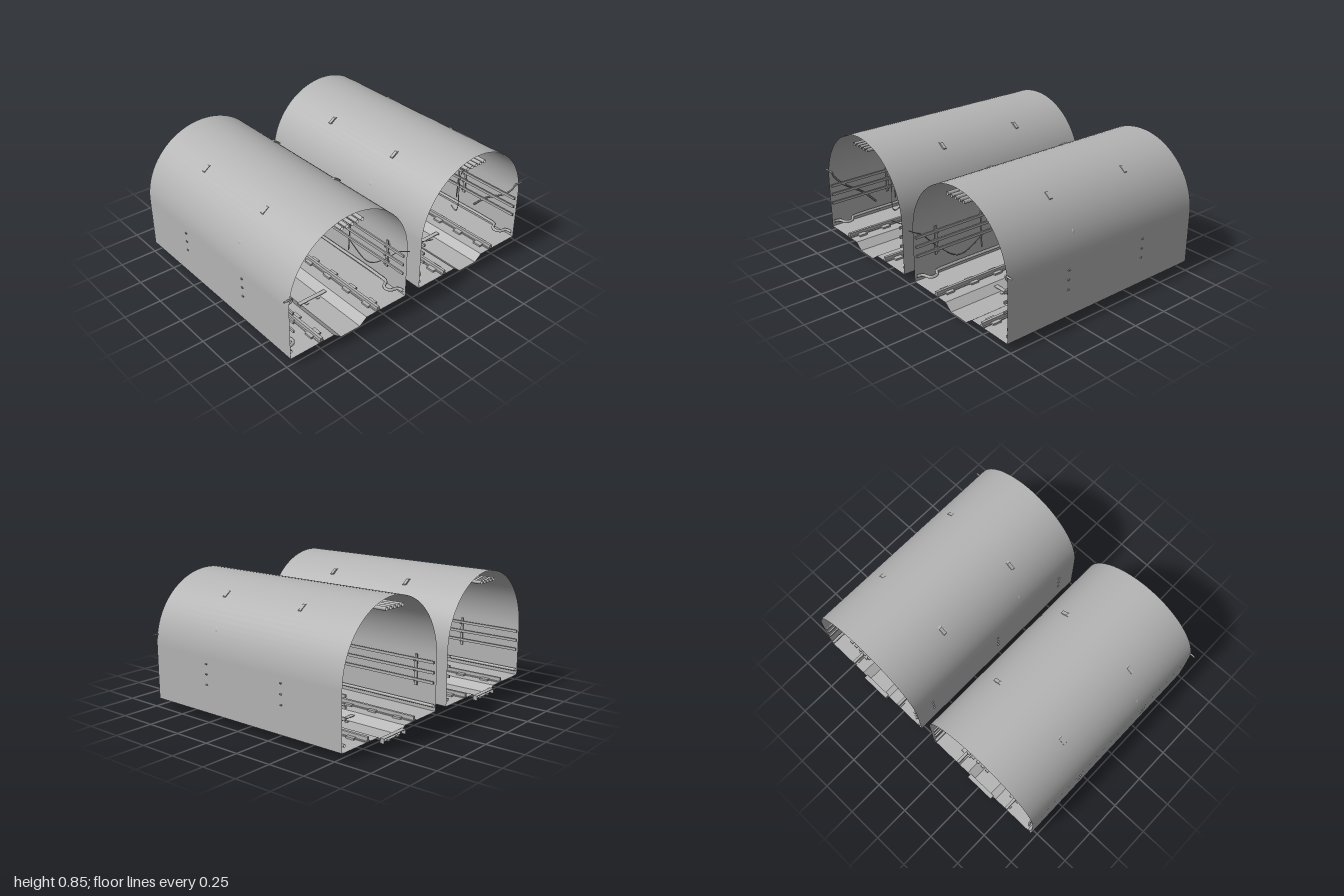
import * as THREE from 'three';

const ZB = -0.78, ZF = 0.75, LEN = ZF - ZB, ZM = (ZF + ZB) / 2;
const WALL_IN = 0.06, WALL_OUT = 0.97, CX = 0.515, R = 0.455, SPRING = 0.395, FLOOR = 0.045;

export function createModel() {
  const root = new THREE.Group();
  root.name = 'twinTunnel';
  const concrete = new THREE.MeshStandardMaterial({ color: 0xb4b4b4, side: THREE.DoubleSide });
  concrete.name = 'concrete grey';

  // s = 1 builds the left tunnel, s = -1 its mirror image
  function tunnel(s) {
    const group = new THREE.Group();
    group.name = s > 0 ? 'leftTunnel' : 'rightTunnel';
    root.add(group);

    const add = (name, geo, x = 0, y = 0, z = 0) => {
      const mesh = new THREE.Mesh(geo, concrete);
      mesh.name = name;
      mesh.position.set(s * x, y, z);
      group.add(mesh);
      return mesh;
    };
    const box = (name, w, h, d, x, y, z) => add(name, new THREE.BoxGeometry(w, h, d), x, y, z);
    const tube = (name, pts, r, seg = 40) => {
      const curve = new THREE.CatmullRomCurve3(pts.map(([x, y, z]) => new THREE.Vector3(s * x, y, z)));
      return add(name, new THREE.TubeGeometry(curve, seg, r, 6));
    };
    // Open sheet: a cross-section swept along the tunnel
    const sheet = (name, pts, smooth) => {
      const list = s > 0 ? pts : pts.map(([x, y]) => [-x, y]).reverse();
      let geo = new THREE.PlaneGeometry(1, 1, list.length - 1, 1);
      const p = geo.attributes.position;
      for (let i = 0; i < p.count; i++) {
        const [x, y] = list[i % list.length];
        p.setXYZ(i, x, y, i < list.length ? ZB : ZF);
      }
      if (!smooth) geo = geo.toNonIndexed();
      geo.computeVertexNormals();
      return add(name, geo);
    };

    // Vaulted shell
    const arch = [[WALL_IN, FLOOR]];
    for (let i = 0; i <= 40; i++) {
      const a = Math.PI * (1 - i / 40);
      arch.push([CX + R * Math.cos(a), SPRING + R * Math.sin(a)]);
    }
    arch.push([WALL_OUT, FLOOR]);
    sheet('shell', arch, true);

    // Floor with drainage trench
    sheet('floor', [[WALL_IN, FLOOR], [0.385, FLOOR], [0.44, 0.002], [0.59, 0.002], [0.645, FLOOR], [WALL_OUT, FLOOR]], false);

    // Hollow crosspieces in the trench
    for (const z of [0.37, -0.015, -0.4, -0.785]) {
      box('crosspieceTop', 0.214, 0.004, 0.03, 0.51, 0.03, z);
      for (const x of [0.405, 0.615]) box('crosspieceEnd', 0.004, 0.032, 0.03, x, 0.016, z);
      for (const x of [0.465, 0.555]) box('crosspieceFoot', 0.02, 0.006, 0.02, x, 0.003, z);
    }

    // Running rails on base plates
    for (const x of [0.29, 0.74]) {
      box('railHead', 0.018, 0.024, LEN, x, 0.064, ZM);
      box('railFoot', 0.036, 0.006, LEN, x, 0.049, ZM);
      for (let i = 0; i < 8; i++) box('railPlate', 0.075, 0.014, 0.06, x - 0.005, 0.05, 0.66 - i * 0.19);
    }

    // Roof beams with sloping ends
    const beam = new THREE.Shape([[-0.295, -0.022], [-0.25, -0.014], [0.25, -0.014], [0.295, -0.022],
      [0.295, -0.016], [0.255, 0.012], [0.235, 0.012], [0.2, 0], [-0.2, 0], [-0.235, 0.012],
      [-0.255, 0.012], [-0.295, -0.016]].map(([x, y]) => new THREE.Vector2(x, y)));
    for (const z of [0.29, -0.33]) {
      const geo = new THREE.ExtrudeGeometry(beam, { depth: 0.022, bevelEnabled: false });
      add('roofBeam', geo, 0.51, 0.768, z - 0.011);
    }

    // Five open roof conduits
    for (let i = 0; i < 5; i++) {
      const geo = new THREE.CylinderGeometry(0.012, 0.012, LEN + 0.005, 10, 1, true).rotateX(Math.PI / 2);
      add('roofConduit', geo, 0.434 + i * 0.038, 0.785, ZM - 0.0025);
    }

    // Wall fittings on both sides; d points into the tunnel
    for (const [wall, d, posts] of [[WALL_IN, 1, [0.59, -0.02, -0.64]], [WALL_OUT, -1, [0.29, -0.33]]]) {
      const at = (o) => wall + d * o;
      // Cable racks
      for (const y of [0.235, 0.3, 0.365]) {
        box('wallRail', 0.01, 0.018, LEN, at(0.03), y, ZM);
        for (const z of posts) box('railArm', 0.05, 0.008, 0.012, at(0.018), y - 0.008, z);
      }
      for (const z of posts) box('rackPost', 0.008, 0.2, 0.018, at(0.018), 0.295, z);

      // Low pipe with a bent front end
      tube('lowPipe', [[at(0.02), 0.085, ZB], [at(0.02), 0.085, 0], [at(0.02), 0.085, 0.5], [at(0.03), 0.085, 0.6],
        [at(0.075), 0.085, 0.63], [at(0.075), 0.085, 0.68], [at(0.02), 0.085, 0.7], [at(0.012), 0.085, 0.74]], 0.011, 70);

      // Wall lamp on a bowed stem
      const head = add('lampHead', new THREE.SphereGeometry(0.02, 12, 8), at(0.047), 0.567, 0.23);
      head.scale.set(0.75, 1.15, 0.9);
      head.rotation.z = -s * d * 0.25;
      tube('lampStem', [[at(0.04), 0.55, 0.23], [at(0.025), 0.47, 0.23], [at(0.018), 0.38, 0.23],
        [at(0.022), 0.24, 0.23], [at(0.027), 0.13, 0.23]], 0.004);
    }

    // Sagging cable leaving the inner wall at the front
    tube('looseCable', [[0.085, 0.23, 0.2], [0.078, 0.13, 0.4], [0.085, 0.22, 0.55], [0.08, 0.37, 0.7],
      [0.085, 0.4, 0.75], [0.092, 0.432, 0.8]], 0.003);
    // Hook bar through the outer wall and its hanging cables
    tube('hookBar', [[1, 0.472, 0.745], [0.96, 0.472, 0.745], [0.94, 0.47, 0.74], [0.935, 0.44, 0.73],
      [0.94, 0.36, 0.66], [0.945, 0.25, 0.5], [0.942, 0.15, 0.4]], 0.006);
    tube('hangingCable', [[0.935, 0.39, 0.29], [0.905, 0.36, 0.29], [0.897, 0.25, 0.29], [0.896, 0.08, 0.29],
      [0.9, 0.052, 0.27], [0.93, 0.05, 0.2]], 0.003);
  }

  tunnel(1);
  tunnel(-1);
  return root;
}
